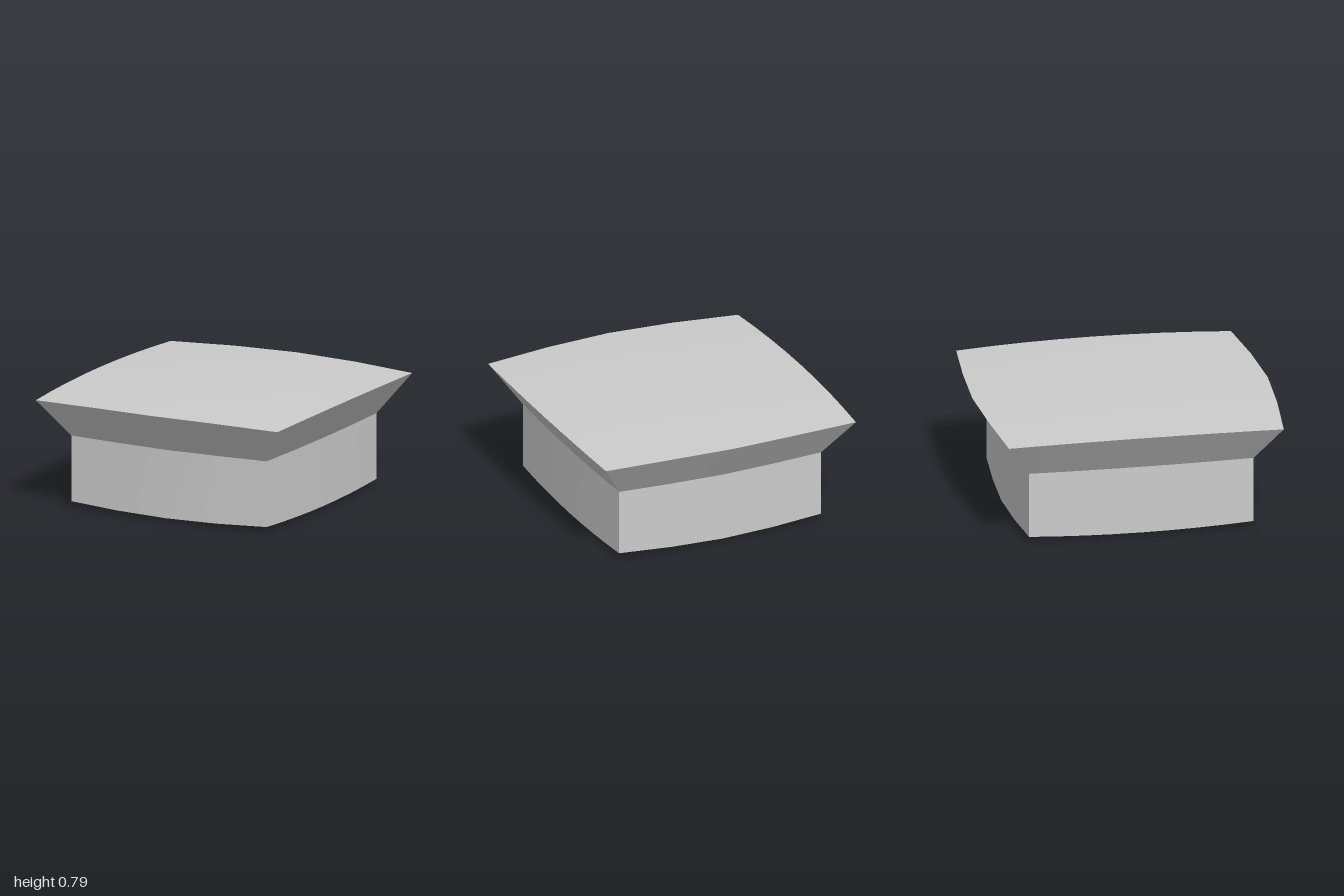
import * as THREE from 'three';
import { toCreasedNormals } from 'three/addons/utils/BufferGeometryUtils.js';

// Half-sizes of the bulging plan outline: at the corners and at the middle of each side
const BASE = { cornerX: 0.74, midX: 0.757, cornerZ: 0.76, midZ: 0.804 };
const RIM = { cornerX: 0.915, midX: 0.945, cornerZ: 0.93, midZ: 1.0 };
const NECK_Y = 0.49;

// Maps s, t in -1..1 to a point inside a bulging rectangle
function planPoint(s, t, o) {
  return [
    s * (o.cornerX + (o.midX - o.cornerX) * (1 - t * t)),
    t * (o.cornerZ + (o.midZ - o.cornerZ) * (1 - Math.abs(s) ** 1.5)),
  ];
}

export function createModel() {
  const group = new THREE.Group();
  group.name = 'flaredBlock';

  // A box with three levels: domed underside, neck and domed, flared top
  const box = new THREE.BoxGeometry(2, 2, 2, 4, 2, 8);
  const p = box.attributes.position;
  for (let i = 0; i < p.count; i++) {
    const level = Math.round(p.getY(i));
    const [x, z] = planPoint(p.getX(i), p.getZ(i), level > 0 ? RIM : BASE);
    let y = NECK_Y;
    if (level > 0) y = 0.788 - 0.024 * (x * x + z * z);
    if (level < 0) y = 0.038 * x * x + 0.033 * z * z;
    p.setXYZ(i, x, y, z);
  }

  // Smooth along the gentle curves, sharp at the neck, rim and corners
  const body = new THREE.Mesh(
    toCreasedNormals(box, 0.4),
    new THREE.MeshStandardMaterial({ color: 0xcccccc })
  );
  body.name = 'flaredBody';
  group.add(body);
  return group;
}
